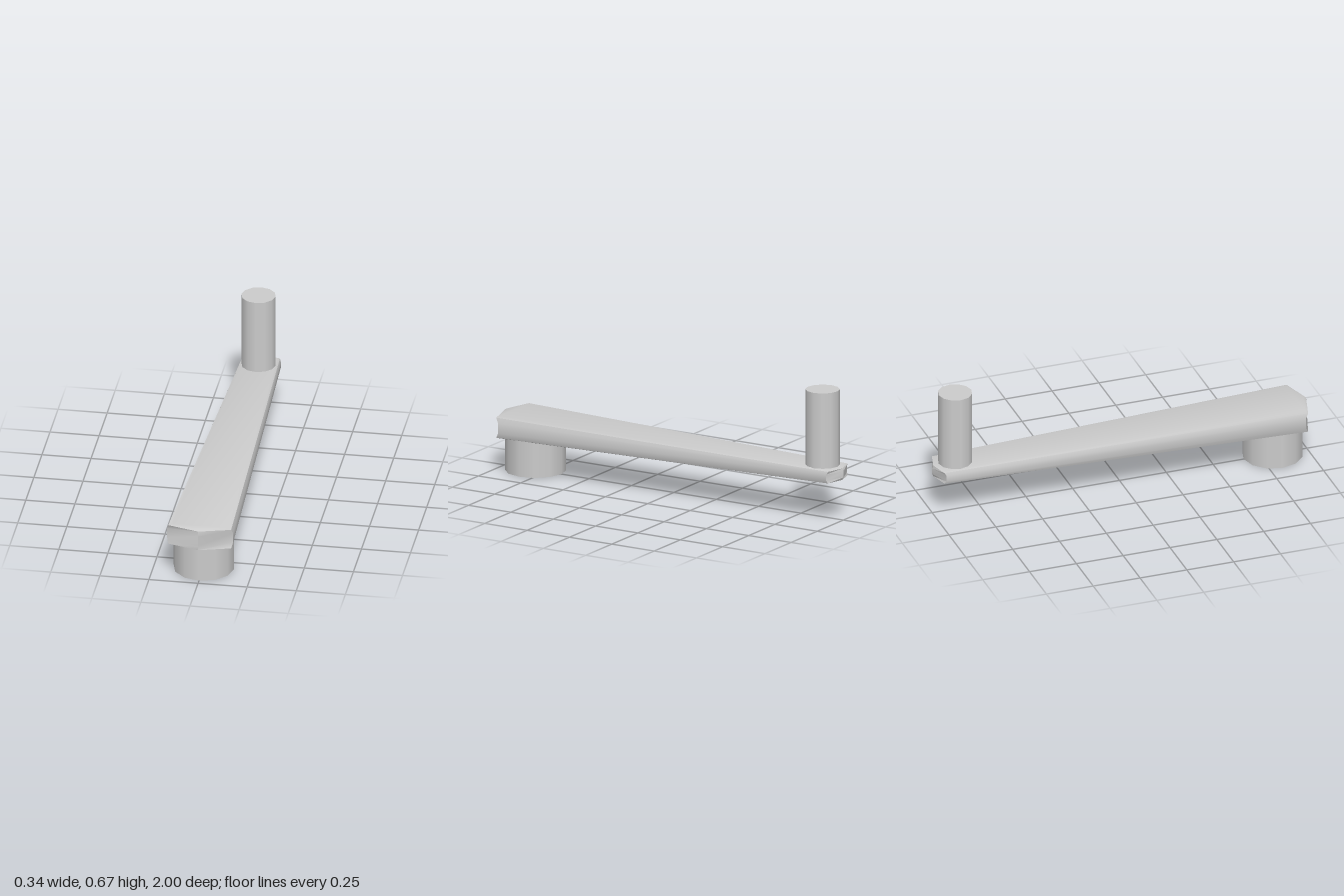
import * as THREE from 'three';
import { toCreasedNormals } from 'three/addons/utils/BufferGeometryUtils.js';

const material = new THREE.MeshStandardMaterial({ color: 0xcccccc });

// Half thickness of the arm shrinks from the hub end (+z) to the handle end (-z).
const halfThickness = (z) => THREE.MathUtils.lerp(0.034, 0.06, (z + 1) / 2);

function armGeometry() {
  // Each ring: height fraction, front corner x/z, front tip z, back corner x/z, back tip z
  const half = [
    [0.45, 0.168, 0.935, 1.0, 0.1, -0.96, -1.0],
    [0.88, 0.16, 0.95, 0.996, 0.094, -0.968, -0.994],
    [1.0, 0.14, 0.942, 0.982, 0.08, -0.955, -0.978],
  ];
  const rings = [...half.map(([f, ...r]) => [-f, ...r]).reverse(), ...half];
  const positions = [];
  const index = [];
  for (const [f, fx, fz, ft, bx, bz, bt] of rings) {
    const outline = [[0, ft], [fx, fz], [bx, bz], [0, bt], [-bx, bz], [-fx, fz]];
    for (const [x, z] of outline) positions.push(x, 0.238 + f * halfThickness(z), z);
  }
  // Side walls and rounded edges
  for (let r = 0; r < rings.length - 1; r++) {
    for (let i = 0; i < 6; i++) {
      const a = r * 6 + i, b = r * 6 + (i + 1) % 6;
      index.push(a, b, b + 6, a, b + 6, a + 6);
    }
  }
  // Bottom and top faces
  const top = (rings.length - 1) * 6;
  for (const [a, b, c] of [[0, 1, 5], [1, 2, 5], [2, 4, 5], [2, 3, 4]]) {
    index.push(a, c, b, top + a, top + b, top + c);
  }
  const geometry = new THREE.BufferGeometry();
  geometry.setAttribute('position', new THREE.Float32BufferAttribute(positions, 3));
  geometry.setIndex(index);
  return toCreasedNormals(geometry, 0.7);
}

function addPart(group, name, geometry) {
  const mesh = new THREE.Mesh(geometry, material);
  mesh.name = name;
  group.add(mesh);
}

// Upright round post between two heights
function post(radius, bottom, top, z) {
  return new THREE.CylinderGeometry(radius, radius, top - bottom, 12)
    .translate(0, (bottom + top) / 2, z);
}

export function createModel() {
  const group = new THREE.Group();
  group.name = 'crankHandle';
  addPart(group, 'arm', armGeometry());
  addPart(group, 'hub', post(0.154, 0, 0.2, 0.817));
  addPart(group, 'handle', post(0.087, 0.24, 0.665, -0.878));
  return group;
}
